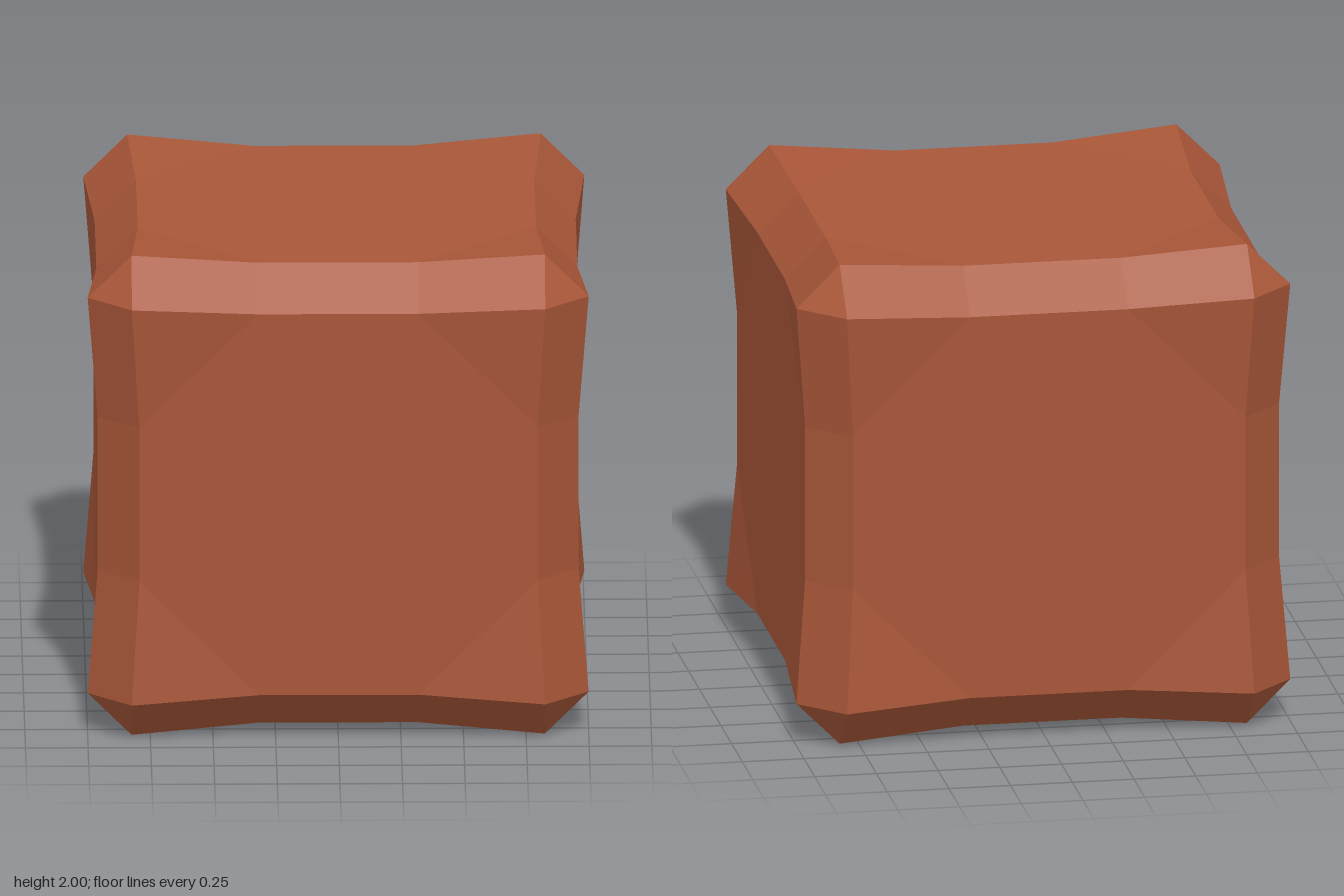
import * as THREE from 'three';

// Chamfered cube with raised corners; half-sizes measured from the centre
const CORNER = { along: 0.825, depth: 1.0, inset: 0.825 };
const MIDDLE = { along: 0.32, depth: 0.96, inset: 0.795 };

// Point given in coordinates relative to axis n, then the next two axes
function point(n, a, b, c) {
  const p = [0, 0, 0];
  p[n] = a;
  p[(n + 1) % 3] = b;
  p[(n + 2) % 3] = c;
  return new THREE.Vector3(...p);
}

// Flat mesh from polygons, each fanned and wound to face outwards
function polygonMesh(name, polygons, material) {
  const pos = [];
  for (const poly of polygons) {
    for (let i = 1; i < poly.length - 1; i++) {
      let [a, b, c] = [poly[0], poly[i], poly[i + 1]];
      const normal = b.clone().sub(a).cross(c.clone().sub(a));
      if (normal.dot(a) < 0) [b, c] = [c, b];
      for (const v of [a, b, c]) pos.push(v.x, v.y + 1, v.z);
    }
  }
  const geometry = new THREE.BufferGeometry();
  geometry.setAttribute('position', new THREE.Float32BufferAttribute(pos, 3));
  geometry.computeVertexNormals();
  const mesh = new THREE.Mesh(geometry, material);
  mesh.name = name;
  return mesh;
}

export function createModel() {
  const material = new THREE.MeshStandardMaterial({ color: 0xa85638, flatShading: true });
  const faces = [], edges = [], corners = [];
  const signs = [1, -1];
  const { along: m, depth: d, inset: e } = MIDDLE;

  for (let n = 0; n < 3; n++) {
    for (const s of signs) {
      // Flat octagonal centre of each side
      const outline = [[e, m], [m, e], [-m, e], [-e, m], [-e, -m], [-m, -e], [m, -e], [e, -m]];
      faces.push(outline.map(([b, c]) => point(n, s * d, b, c)));

      for (const t of signs) {
        for (const u of signs) {
          // Triangle rising to the corner of the side
          faces.push([
            point(n, s * CORNER.depth, t * CORNER.inset, u * CORNER.inset),
            point(n, s * d, t * e, u * m),
            point(n, s * d, t * m, u * e),
          ]);
        }

        // Bevel along axis n, in three stretches
        const stations = [[-1, CORNER], [-1, MIDDLE], [1, MIDDLE], [1, CORNER]].map(([k, q]) => [
          point(n, k * q.along, s * q.depth, t * q.inset),
          point(n, k * q.along, s * q.inset, t * q.depth),
        ]);
        for (let i = 0; i < 3; i++) {
          edges.push([...stations[i], stations[i + 1][1], stations[i + 1][0]]);
        }
      }
    }
  }

  // Cut corner tips
  for (const x of signs) for (const y of signs) for (const z of signs) {
    const sign = new THREE.Vector3(x, y, z);
    corners.push([0, 1, 2].map(n => point(n, CORNER.depth, CORNER.inset, CORNER.inset).multiply(sign)));
  }

  const group = new THREE.Group();
  group.name = 'bevelledBlock';
  group.add(
    polygonMesh('dishedSides', faces, material),
    polygonMesh('bevelledEdges', edges, material),
    polygonMesh('cornerTips', corners, material),
  );
  return group;
}
